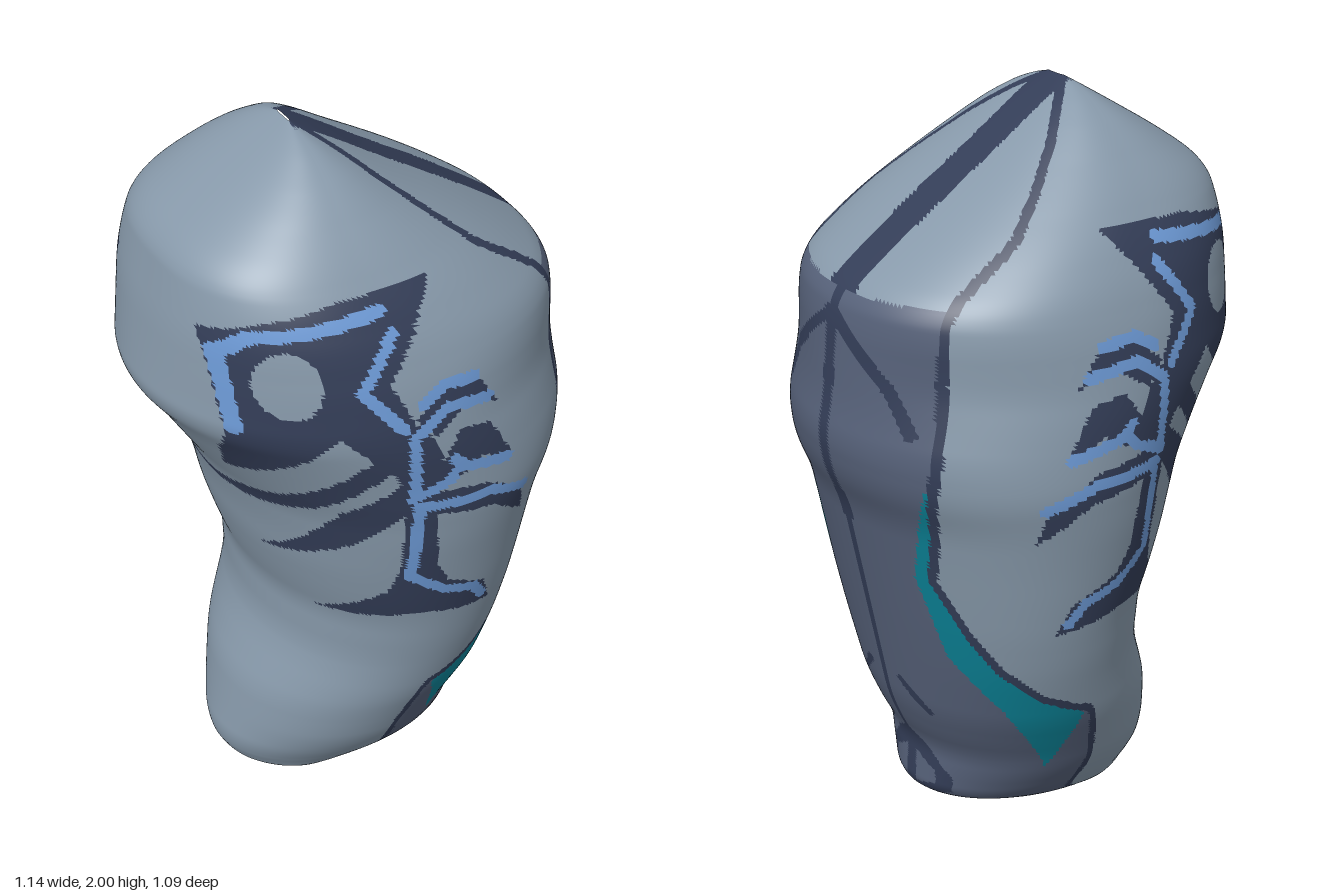
import * as THREE from 'three';

// Silhouette tables: [height, value]
const LEFT = [[0, -.2], [.02, -.34], [.05, -.375], [.12, -.4], [.2, -.385], [.35, -.36], [.5, -.3], [.56, -.285], [.7, -.285], [.8, -.32], [.9, -.35],
  [1, -.37], [1.1, -.4], [1.2, -.46], [1.3, -.52], [1.37, -.575], [1.5, -.555], [1.6, -.54], [1.77, -.5], [1.85, -.39], [1.9, -.31], [2, -.15]];
const RIGHT = [[0, -.1], [.01, -.05], [.03, .1], [.06, .28], [.09, .33], [.25, .32], [.3, .35], [.4, .39], [.6, .43], [.8, .47],
  [1, .51], [1.1, .555], [1.2, .57], [1.3, .55], [1.5, .53], [1.57, .51], [1.65, .4], [1.75, .25], [1.85, .09], [1.95, -.06], [2, -.145]];
const DEPTH = [[0, .16], [.05, .22], [.1, .265], [.2, .33], [.4, .41], [.6, .46], [.8, .5], [1, .533], [1.12, .547], [1.3, .542], [1.4, .53],
  [1.5, .51], [1.6, .475], [1.7, .42], [1.8, .345], [1.9, .24], [1.95, .165], [1.98, .1], [2, .03]];

function lerpTable(table, y) {
  let i = 1;
  while (i < table.length - 1 && table[i][0] < y) i++;
  const [y0, a] = table[i - 1], [y1, b] = table[i];
  return a + (b - a) * THREE.MathUtils.clamp((y - y0) / (y1 - y0), 0, 1);
}
// Table lookup with softened corners
function smooth(table, y) {
  const w = Math.min(.035, y * .5, (2 - y) * .5);
  let sum = 0;
  for (let k = -3; k <= 3; k++) sum += lerpTable(table, y + w * k / 3);
  return sum / 7;
}

function inside(poly, x, y) {
  let hit = false;
  for (let i = 0, j = poly.length - 1; i < poly.length; j = i++) {
    const [ax, ay] = poly[i], [bx, by] = poly[j];
    if ((ay > y) !== (by > y) && x < (bx - ax) * (y - ay) / (by - ay) + ax) hit = !hit;
  }
  return hit;
}
function nearLine(line, x, y, r) {
  for (let i = 1; i < line.length; i++) {
    const [ax, ay] = line[i - 1], dx = line[i][0] - ax, dy = line[i][1] - ay;
    const k = THREE.MathUtils.clamp(((x - ax) * dx + (y - ay) * dy) / (dx * dx + dy * dy), 0, 1);
    if (Math.hypot(x - ax - k * dx, y - ay - k * dy) < r) return true;
  }
  return false;
}

// Side panel and flash, as [angle around the body, height]
const scale = ([t, y]) => [t * .45, y];
const PANEL_EDGE = [[1.55, 0], [1.5, .05], [1.54, .2], [1.57, .4], [1.55, .435], [1.44, .45], [1.19, .5], [.91, .6], [.735, .7],
  [.54, .85], [.59, 1], [.67, 1.2], [.65, 1.4], [.67, 1.58]].map(scale);
const PANEL = [...PANEL_EDGE, [0, 1.57], [0, 0]];
const FLASH = [[1.5, .42], [1.17, .22], [1.05, .35], [.93, .45], [.58, .62], [.43, .85], [.5, 1], [.66, 1.2],
  [.59, 1], [.54, .85], [.735, .7], [.91, .6], [1.19, .5], [1.44, .45]].map(scale);
// Line over the top, as [x, z]
const TOP_LINE = [[-.14, .03], [-.1, .075], [0, .175], [.1, .25], [.2, .31], [.25, .317], [.38, .318], [.46, .34]];

// Marks on the side panel, as [z, y]
const CHEVRON = [[0, 1.52], [.1, 1.45], [.2, 1.37], [.27, 1.27]];
const TICK = [[.07, .48], [.15, .4]];
const SNOUT = [[-.01, .29], [.06, .25], [.14, .16], [.13, .11], [.05, .08], [-.01, .08]];
const SNOUT_HOLE = [[.02, .21], [.09, .17], [.09, .13], [.02, .11]];

// Fish skeleton, as [x, y]
const BONES = [
  [[-.5, 1.645], [-.39, 1.69], [-.23, 1.725], [.02, 1.73], [-.135, 1.52], [-.075, 1.395], [-.075, 1.26], [-.18, 1.315], [-.26, 1.395], [-.43, 1.205], [-.47, 1.315]],
  [[-.165, 1.34], [-.38, 1.115], [-.4, 1.05], [-.28, 1.13], [-.14, 1.28]],
  [[-.09, 1.25], [-.23, 1.13], [-.325, .895], [-.2, 1.01], [-.075, 1.16]],
  [[-.2, 1.4], [-.06, 1.4], [-.01, 1.3], [-.03, 1.2], [0, .93], [-.09, .93], [-.1, 1.2]],
  [[-.09, .93], [-.11, .84], [-.225, .72], [-.02, .75], [.19, .71], [.155, .8], [.035, .865], [0, .93]],
  [[-.08, 1.42], [.02, 1.49], [.1, 1.475], [.16, 1.385], [.06, 1.42], [-.03, 1.36]],
  [[-.04, 1.24], [.04, 1.36], [.13, 1.34], [.205, 1.21], [.1, 1.26], [0, 1.2]],
  [[-.06, 1.2], [.12, 1.17], [.24, 1.1], [.265, .99], [.14, 1.09], [-.03, 1.12]],
];
const HIGHLIGHTS = [
  [[-.46, 1.4], [-.48, 1.6], [-.42, 1.655], [-.13, 1.69]],
  [[-.11, 1.64], [-.205, 1.51], [-.11, 1.4]],
  [[-.08, 1.2], [-.085, 1.37], [0, 1.43], [.13, 1.41]],
  [[-.06, 1.455], [0, 1.49], [.09, 1.48]],
  [[-.085, 1.18], [.01, 1.22], [.04, 1.26], [.02, 1.28]],
  [[.04, 1.25], [.19, 1.215]],
  [[-.07, 1.15], [.13, 1.14], [.25, 1.09]],
  [[-.065, 1.15], [-.065, .9], [.03, .83], [.12, .8], [.16, .74]],
];

const [SHELL, SIDE, TEAL, DARK, BLUE] = [0, 1, 2, 3, 4];

// Which painted part a spot on the surface belongs to
function partAt(x, y, z, t) {
  const s = t * .45;
  if (t < 1.9) {
    if (y > 1.57 && x > -.15) {
      if (z < .055 || nearLine(TOP_LINE, x, z, .013)) return DARK;
    }
    if (nearLine(PANEL_EDGE, s, y, .013)) return DARK;
    if (inside(FLASH, s, y)) return TEAL;
    if (inside(PANEL, s, y)) {
      if (z < (y > .95 ? .022 : .01)) return DARK;
      if (nearLine(CHEVRON, z, y, .018) || nearLine(TICK, z, y, .012)) return DARK;
      return inside(SNOUT, z, y) && !inside(SNOUT_HOLE, z, y) ? DARK : SIDE;
    }
  }
  if (HIGHLIGHTS.some(line => nearLine(line, x, y, .015))) return BLUE;
  const eye = Math.hypot((x + .357) / .07, (y - 1.535) / .088) < 1;
  return !eye && BONES.some(poly => inside(poly, x, y)) ? DARK : SHELL;
}

export function createModel() {
  const COLS = 256, ROWS = 250;
  const points = [], parts = [[], [], [], [], []];

  // Stacked rounded cross-sections
  for (let i = 0; i <= ROWS; i++) {
    const v = i / ROWS, y = 1.2 * v + .4 * (1 - Math.cos(Math.PI * v));
    const l = smooth(LEFT, y), r = smooth(RIGHT, y), d = smooth(DEPTH, y);
    const power = 2 / (2 + .5 * THREE.MathUtils.smoothstep(y, 1.35, 1.75));
    const bend = a => Math.sign(a) * Math.abs(a) ** power;
    for (let j = 0; j < COLS; j++) {
      const t = j / COLS * Math.PI * 2;
      points.push((l + r) / 2 + (r - l) / 2 * bend(Math.cos(t)), y, d * bend(Math.sin(t)));
    }
  }

  // Sort the faces into painted parts
  const addFace = (a, b, c, col) => {
    const mid = k => (points[a * 3 + k] + points[b * 3 + k] + points[c * 3 + k]) / 3;
    const t = col / COLS * Math.PI * 2;
    parts[partAt(mid(0), mid(1), Math.abs(mid(2)), Math.min(t, Math.PI * 2 - t))].push(a, b, c);
  };
  for (let i = 0; i < ROWS; i++) {
    for (let j = 0; j < COLS; j++) {
      const a = i * COLS + j, d = i * COLS + (j + 1) % COLS;
      addFace(a, a + COLS, d + COLS, j + 1 / 3);
      addFace(a, d + COLS, d, j + 2 / 3);
    }
  }

  // Flat base
  const centre = points.length / 3;
  points.push(-.15, 0, 0);
  for (let j = 0; j < COLS; j++) parts[SHELL].push(centre, j, (j + 1) % COLS);

  const whole = new THREE.BufferGeometry();
  whole.setAttribute('position', new THREE.Float32BufferAttribute(points, 3));
  whole.setIndex(parts.flat());
  whole.computeVertexNormals();

  const group = new THREE.Group();
  group.name = 'paintedBody';
  const looks = [['shell', 'blueGrey', 0x8799aa], ['sidePanel', 'slate', 0x566179], ['sideFlash', 'teal', 0x0b8296],
    ['bonesAndLines', 'navy', 0x333d57], ['boneHighlights', 'skyBlue', 0x6d9ad6]];
  looks.forEach(([name, colourName, color], k) => {
    const geometry = new THREE.BufferGeometry();
    geometry.setAttribute('position', whole.getAttribute('position'));
    geometry.setAttribute('normal', whole.getAttribute('normal'));
    geometry.setIndex(parts[k]);
    const material = new THREE.MeshStandardMaterial({ color });
    material.name = colourName;
    const mesh = new THREE.Mesh(geometry, material);
    mesh.name = name;
    group.add(mesh);
  });
  return group;
}
